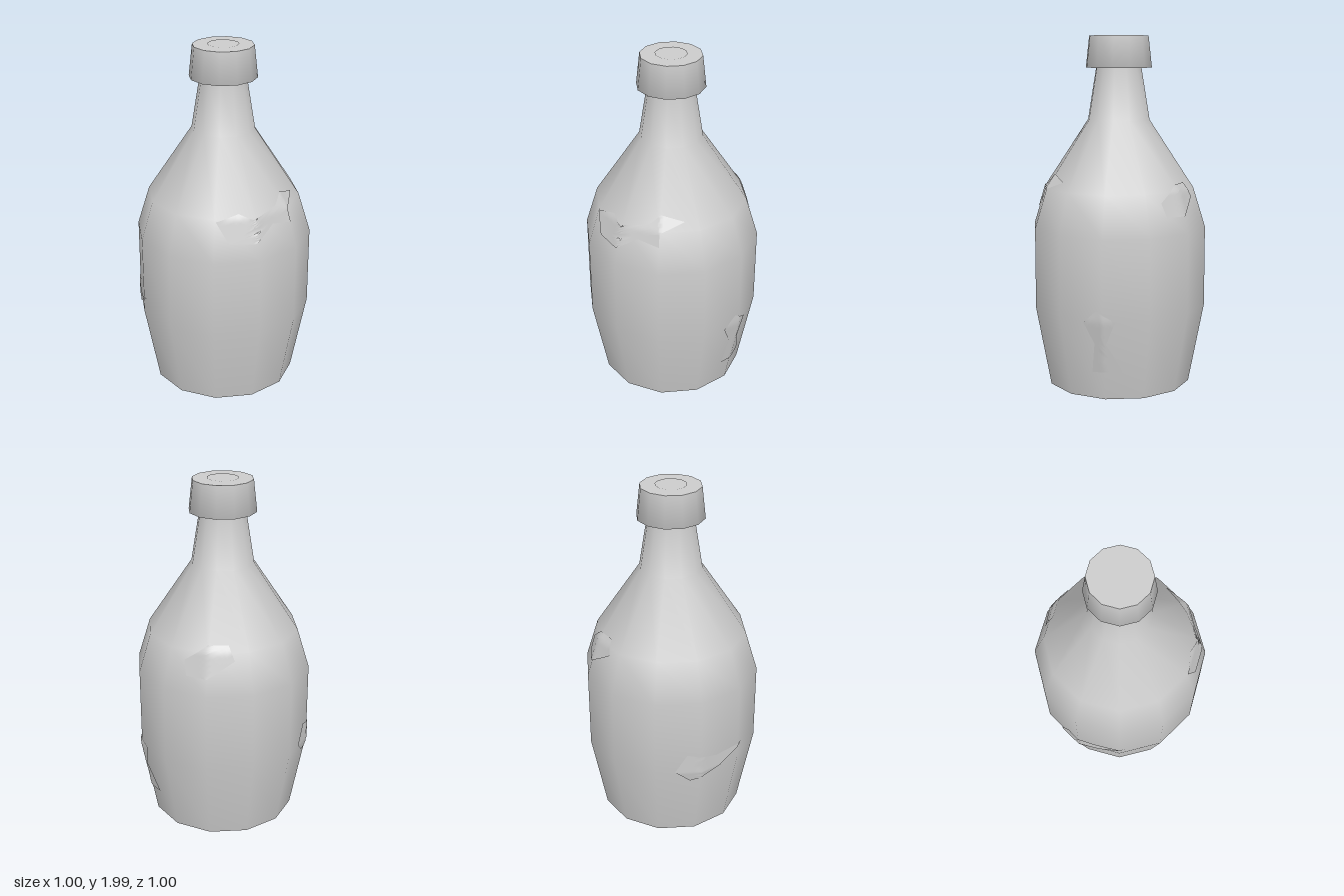
import * as THREE from 'three';
import { toCreasedNormals } from 'three/addons/utils/BufferGeometryUtils.js';

const SIDES = 12;
const STEP = (Math.PI * 2) / SIDES;
const PROFILE = [[0.413, 0], [0.5, 0.46], [0.5, 0.915], [0.43, 1.14], [0.178, 1.52], [0.13, 1.815]];

// Point on the twelve-sided bottle wall at an angle (0 = front, 90 = +x) and height
function onWall(degrees, y, lift) {
  const k = Math.max(1, PROFILE.findIndex((p) => p[1] >= y));
  const [r0, y0] = PROFILE[k - 1], [r1, y1] = PROFILE[k];
  const r = r0 + ((r1 - r0) * (y - y0)) / (y1 - y0);
  const a = THREE.MathUtils.degToRad(degrees);
  const inFace = THREE.MathUtils.euclideanModulo(a, STEP) - STEP / 2;
  const d = (r * Math.cos(STEP / 2)) / Math.cos(inFace) + lift;
  return [Math.sin(a) * d, y, Math.cos(a) * d];
}

// Irregular patch, outlined in [angle, height], draped over the wall
function patchGeometry(outline) {
  const pts = outline.map(([a, y]) => new THREE.Vector2(a, y));
  if (THREE.ShapeUtils.isClockWise(pts)) pts.reverse();
  const out = [];
  const split = (a, b, c, depth) => {
    if (depth === 0) {
      for (const p of [a, b, c]) out.push(...onWall(p.x, p.y, 0.006));
      return;
    }
    const mid = (p, q) => p.clone().add(q).multiplyScalar(0.5);
    const ab = mid(a, b), bc = mid(b, c), ca = mid(c, a);
    split(a, ab, ca, depth - 1);
    split(ab, b, bc, depth - 1);
    split(ca, bc, c, depth - 1);
    split(ab, bc, ca, depth - 1);
  };
  for (const [i, j, k] of THREE.ShapeUtils.triangulateShape(pts, [])) split(pts[i], pts[j], pts[k], 3);
  const g = new THREE.BufferGeometry();
  g.setAttribute('position', new THREE.Float32BufferAttribute(out, 3));
  return toCreasedNormals(g, 0.8);
}

export function createModel() {
  const group = new THREE.Group();
  const material = new THREE.MeshStandardMaterial({ color: 0xcccccc });
  const thin = new THREE.MeshStandardMaterial({ color: 0xcccccc, side: THREE.DoubleSide });
  const add = (name, geometry, mat = material) => {
    const mesh = new THREE.Mesh(geometry, mat);
    mesh.name = name;
    group.add(mesh);
    return mesh;
  };
  const lathe = (points) => new THREE.LatheGeometry(points.map(([r, y]) => new THREE.Vector2(r, y)), SIDES);

  // Bottle wall and flat base
  add('bottleBody', lathe(PROFILE));
  add('bottleBase', new THREE.CircleGeometry(PROFILE[0][0], SIDES)).rotation.x = Math.PI / 2;

  // Flared cap: underside and tapered side, closed by a flat top
  add('cap', lathe([[0.12, 1.812], [0.19, 1.812], [0.17, 1.99]]));
  const top = add('capTop', new THREE.CircleGeometry(0.17, SIDES));
  top.rotation.x = -Math.PI / 2;
  top.position.y = 1.99;

  // Round stopper inset in the cap
  const stopper = add('stopper', new THREE.CircleGeometry(0.088, SIDES));
  stopper.rotation.x = -Math.PI / 2;
  stopper.position.y = 1.993;

  // Surface patches on the shoulder and lower wall
  const patches = {
    shoulderPatchRight: [[31, 1.134], [48, 1.166], [58, 1.134], [81, 1.171], [90, 1.224], [109, 1.187],
      [90, 1.139], [90, 1.065], [74, 1.086], [58, 1.007], [40, 1.017]],
    shoulderPatchBack: [[229, 1.1], [210, 1.01], [195, 1.01], [192, 1.09], [209, 1.18], [225, 1.18]],
    lowerPatchBack: [[137, 0.45], [146, 0.52], [158, 0.46], [152, 0.33], [163, 0.17], [141, 0.16], [144, 0.33]],
    lowerPatchLeft: [[291, 0.58], [283, 0.47], [293, 0.4], [315, 0.46], [334, 0.56], [312, 0.54]],
  };
  for (const [name, outline] of Object.entries(patches)) add(name, patchGeometry(outline), thin);

  return group;
}
